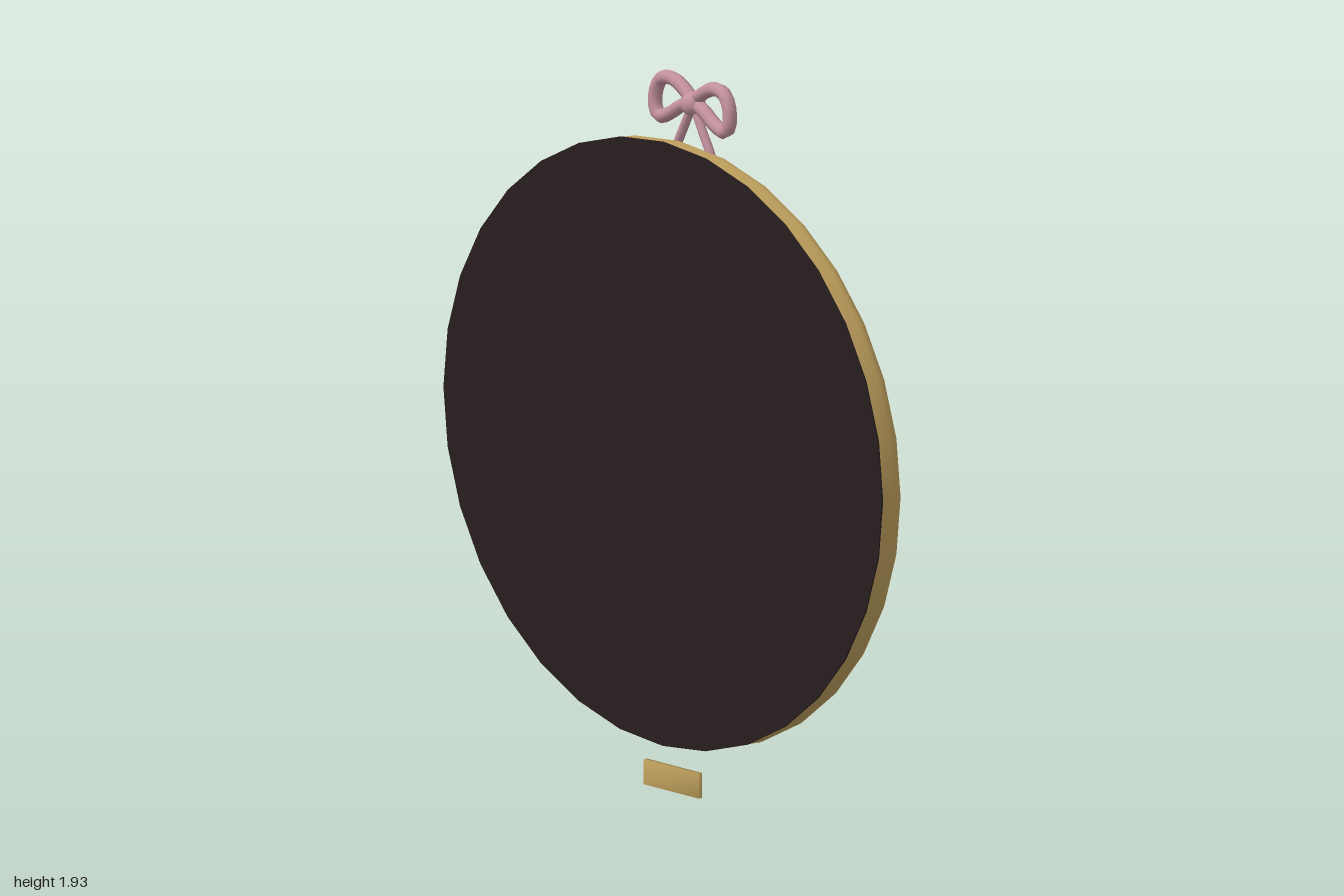
import * as THREE from 'three';
import { mergeVertices } from 'three/addons/utils/BufferGeometryUtils.js';

const CENTER_Y = 0.943, HALF_HEIGHT = 0.817, SIDES = 32;
const SQUEEZE = 1 - HALF_HEIGHT;

function material(name, color) {
  const m = new THREE.MeshStandardMaterial({ color });
  m.name = name;
  return m;
}

// Share all vertices so that normals blend across edges
function smooth(g) {
  g.deleteAttribute('normal');
  g.deleteAttribute('uv');
  const merged = mergeVertices(g, 1e-4);
  merged.computeVertexNormals();
  return merged;
}

// Rim of constant width: the circular sweep is flattened by the same amount at every radius
function rimGeometry() {
  const profile = new THREE.Path();
  profile.moveTo(0.919, 0.063);
  profile.bezierCurveTo(0.911, 0.05, 0.909, 0.036, 0.909, 0.027);
  profile.bezierCurveTo(0.909, 0.004, 0.926, -0.014, 0.95, -0.015);
  profile.bezierCurveTo(0.98, -0.015, 0.998, 0, 0.998, 0.025);
  profile.lineTo(0.998, 0.063);
  const g = new THREE.LatheGeometry(profile.getPoints(6), SIDES).rotateX(Math.PI / 2);
  const p = g.attributes.position;
  for (let i = 0; i < p.count; i++) {
    const r = Math.hypot(p.getX(i), p.getY(i));
    p.setY(i, p.getY(i) * (1 - SQUEEZE / r));
  }
  return smooth(g);
}

export function createModel() {
  const root = new THREE.Group();
  root.name = 'ovalFrame';
  const gold = material('gold', 0xbfa05d);
  const dark = material('darkBrown', 0x281e1e);
  const pink = material('dustyPink', 0xc4929f);

  const add = (parent, name, geometry, mat, x = 0, y = 0, z = 0) => {
    const mesh = new THREE.Mesh(geometry, mat);
    mesh.name = name;
    mesh.position.set(x, y, z);
    parent.add(mesh);
    return mesh;
  };

  // Rim and the thin board closing its front
  add(root, 'rim', rimGeometry(), gold, 0, CENTER_Y);
  const board = new THREE.CylinderGeometry(1, 1, 0.004, SIDES).rotateX(Math.PI / 2).scale(1, HALF_HEIGHT, 1);
  add(root, 'board', board, dark, 0, CENTER_Y, 0.065);

  // Ribbon bow
  const bow = new THREE.Group();
  bow.name = 'bow';
  bow.position.set(0, 1.852, -0.033);
  root.add(bow);
  add(bow, 'knot', new THREE.SphereGeometry(0.034, 16, 12), pink);
  for (const s of [1, -1]) {
    const curve = (pts, closed) => new THREE.CatmullRomCurve3(
      pts.map(([x, y, z]) => new THREE.Vector3(s * x, y, z)), closed);
    const loop = curve([[0.01, 0.008, 0], [0.05, 0.038, -0.001], [0.1, 0.055, 0], [0.145, 0.046, 0.001],
      [0.167, 0.012, 0.002], [0.169, -0.03, 0.003], [0.15, -0.054, 0.003], [0.105, -0.042, 0.003],
      [0.055, -0.014, 0.002]], true);
    add(bow, 'loop', new THREE.TubeGeometry(loop, 20, 0.0195, 8, true), pink);

    const tail = curve([[0.01, -0.015, 0], [0.048, -0.078, 0], [0.086, -0.145, -0.002],
      [0.084, -0.215, -0.004], [0.08, -0.28, -0.005]], false);
    add(bow, 'tail', new THREE.TubeGeometry(tail, 8, 0.0125, 8), pink);
    const tip = add(bow, 'tailTip', new THREE.SphereGeometry(0.0125, 8, 6), pink, s * 0.08, -0.28, -0.005);
    tip.scale.y = 0.4;
  }

  // Small plaque below the rim with bars and pins on its back
  const plaque = new THREE.Group();
  plaque.name = 'plaque';
  plaque.position.set(0, 0.034, 0.034);
  root.add(plaque);
  add(plaque, 'plaquePlate', smooth(new THREE.BoxGeometry(0.25, 0.068, 0.012)), gold);
  add(plaque, 'upperBar', new THREE.BoxGeometry(0.16, 0.011, 0.003), dark, 0, 0.012, -0.007);
  add(plaque, 'lowerBar', new THREE.BoxGeometry(0.15, 0.01, 0.003), dark, 0, -0.012, -0.007);
  for (const s of [1, -1]) {
    add(plaque, 'pin', new THREE.SphereGeometry(0.007, 10, 8), gold, s * 0.107, 0, -0.006);
  }
  return root;
}
